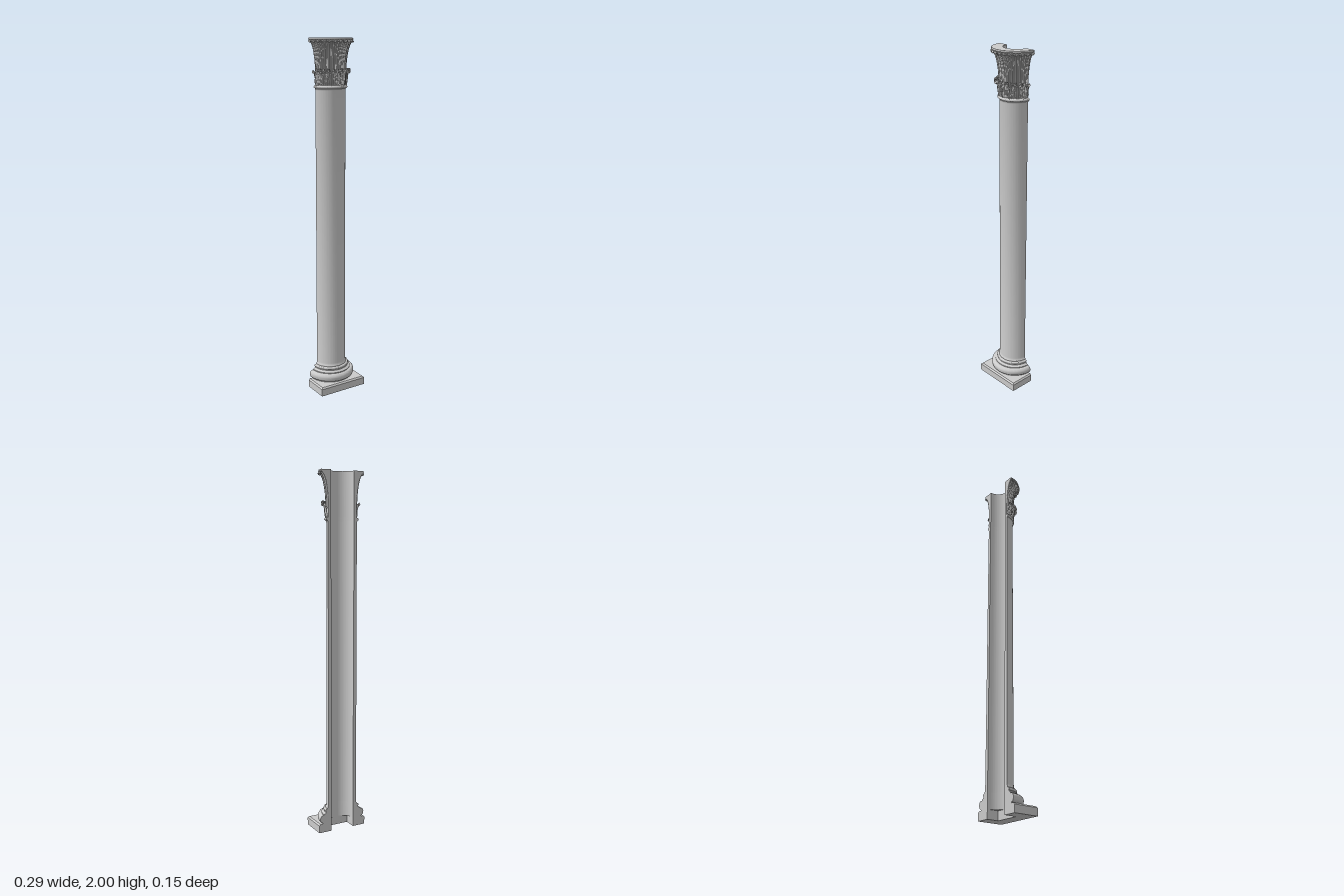
import * as THREE from 'three';
import { mergeGeometries, toCreasedNormals } from 'three/addons/utils/BufferGeometryUtils.js';

const AXIS_Z = -0.075; // the column is cut in half along its own axis
const INNER = 0.07;    // radius of the hollow core
const solid = new THREE.MeshStandardMaterial({ color: 0xcccccc });
const thin = new THREE.MeshStandardMaterial({ color: 0xcccccc, side: THREE.DoubleSide });

function addMesh(parent, name, geometry, material = solid) {
  const mesh = new THREE.Mesh(geometry, material);
  mesh.name = name;
  parent.add(mesh);
  return mesh;
}

// Half-round hollow drum: outer profile [r, y] from bottom to top, with flat cut faces
function halfDrum(profile) {
  const bottom = profile[0][1];
  const top = profile[profile.length - 1][1];
  const loop = [[INNER, bottom], ...profile, [INNER, top]].map(([r, y]) => new THREE.Vector2(r, y));
  const skin = new THREE.LatheGeometry([...loop, loop[0].clone()], 48, -Math.PI / 2, Math.PI);
  const cuts = [1, -1].map((side) =>
    new THREE.ShapeGeometry(new THREE.Shape(loop.map((p) => new THREE.Vector2(p.x * side, p.y)))).rotateY(Math.PI));
  const parts = [skin, ...cuts].map((g) => g.toNonIndexed());
  return toCreasedNormals(mergeGeometries(parts), 0.6);
}

// Points of a rounded moulding bulging from radius r by depth d between two heights
function torusProfile(r, d, y0, y1, n = 10) {
  return Array.from({ length: n + 1 }, (_, i) => {
    const a = (i / n) * Math.PI;
    return [r + d * Math.sin(a), (y0 + y1) / 2 - ((y1 - y0) / 2) * Math.cos(a)];
  });
}

// Leaf wrapped round the axis: spine [r, y], half width in radians, relief across u
function leafGeometry(spine, phi, width, relief, nu, nv) {
  const curve = new THREE.CatmullRomCurve3(spine.map(([r, y]) => new THREE.Vector3(r, y, 0)));
  const positions = [];
  const index = [];
  for (let j = 0; j <= nv; j++) {
    const v = j / nv;
    const p = curve.getPoint(v);
    const t = curve.getTangent(v);
    for (let i = 0; i <= nu; i++) {
      const u = (i / nu) * 2 - 1;
      const d = relief(u, v);
      const r = p.x + t.y * d;
      const a = phi + u * width(v);
      positions.push(r * Math.sin(a), p.y - t.x * d, r * Math.cos(a));
      if (i < nu && j < nv) {
        const k = j * (nu + 1) + i;
        index.push(k, k + 1, k + nu + 2, k, k + nu + 2, k + nu + 1);
      }
    }
  }
  const g = new THREE.BufferGeometry();
  g.setAttribute('position', new THREE.Float32BufferAttribute(positions, 3));
  g.setIndex(index);
  g.computeVertexNormals();
  return g;
}

// Row of equal leaves spread over the half circle
function leafRow(parent, name, count, make, skip = 0) {
  for (let i = skip; i < count; i++) {
    const offset = skip ? i : i + 0.5;
    addMesh(parent, name, make((offset / count) * Math.PI - Math.PI / 2), thin);
  }
}

// Plinth: slab with a square notch at the back and chamfered outer top edges
function plinthGeometry() {
  const w = 0.147, front = 0.074, notch = -0.005, edge = 0.008;
  const shape = new THREE.Shape([
    [-w, -front], [w, -front], [w, -AXIS_Z], [INNER, -AXIS_Z],
    [INNER, -notch], [-INNER, -notch], [-INNER, -AXIS_Z], [-w, -AXIS_Z],
  ].map(([x, y]) => new THREE.Vector2(x, y)));
  const g = new THREE.ExtrudeGeometry(shape, { depth: 0.05, steps: 6, bevelEnabled: false });
  g.rotateX(-Math.PI / 2);
  const pos = g.attributes.position;
  for (let i = 0; i < pos.count; i++) {
    if (pos.getY(i) < 0.049) continue;
    const x = pos.getX(i);
    if (Math.abs(x) > w - 0.001) pos.setX(i, x - Math.sign(x) * edge);
    if (pos.getZ(i) > front - 0.001) pos.setZ(i, front - edge);
  }
  return toCreasedNormals(g, 0.4);
}

export function createModel() {
  const model = new THREE.Group();
  model.name = 'halfColumn';
  addMesh(model, 'plinth', plinthGeometry());

  const column = new THREE.Group();
  column.name = 'column';
  column.position.z = AXIS_Z;
  model.add(column);

  // Base: large torus, hollow, small torus
  addMesh(column, 'base', halfDrum([
    [0.124, 0.05], ...torusProfile(0.124, 0.016, 0.055, 0.1),
    [0.118, 0.1], [0.118, 0.105], [0.109, 0.108], [0.104, 0.114], [0.104, 0.117],
    ...torusProfile(0.099, 0.008, 0.117, 0.133), [0.095, 0.133], [0.095, 0.138],
  ]));

  addMesh(column, 'shaft', halfDrum([
    [0.095, 0.138], [0.0915, 0.143], [0.09, 0.152], [0.088, 1.725], [0.09, 1.733], [0.092, 1.735],
  ]));

  addMesh(column, 'neckRing', halfDrum([
    [0.092, 1.735], ...torusProfile(0.091, 0.008, 1.737, 1.752), [0.088, 1.754],
  ]));

  // Capital: flaring bell with a thin top rim
  const capital = new THREE.Group();
  capital.name = 'capital';
  column.add(capital);
  addMesh(capital, 'bell', halfDrum([
    [0.086, 1.754], [0.086, 1.82], [0.088, 1.86], [0.092, 1.9], [0.099, 1.94],
    [0.109, 1.968], [0.121, 1.984], [0.127, 1.988], [0.13, 1.993], [0.128, 2],
  ]));

  // Tall tongue leaves with raised edges and midrib, tips curling under the rim
  const tongueSpine = [[0.088, 1.8], [0.09, 1.86], [0.095, 1.905], [0.103, 1.945], [0.114, 1.973], [0.126, 1.987], [0.132, 1.983], [0.13, 1.975]];
  leafRow(capital, 'tongueLeaf', 14, (phi) => leafGeometry(
    tongueSpine, phi,
    (v) => 0.108 * (v > 0.8 ? Math.sqrt(Math.max(0.05, 1 - ((v - 0.8) / 0.2) ** 2)) : 1),
    (u) => 0.005 * Math.pow(Math.abs(Math.cos(u * Math.PI)), 1.5) * (1 - 0.95 * Math.pow(Math.abs(u), 6)) - 0.001,
    14, 22));

  // Acanthus leaves: lobed outline, ribbed face and a curled tip
  const acanthus = (spine, half) => (phi) => leafGeometry(
    spine, phi,
    (v) => half * (1 - 0.6 * v ** 3) * (0.72 + 0.28 * Math.abs(Math.sin(v * Math.PI * 4))),
    (u, v) => 0.006 * (1 - u * u) + 0.003 * Math.cos(u * Math.PI * 4 + v * 2 * Math.abs(u)) - 0.001,
    16, 28);
  leafRow(capital, 'rearAcanthusLeaf', 7, acanthus(
    [[0.087, 1.755], [0.089, 1.79], [0.092, 1.82], [0.1, 1.838], [0.109, 1.84], [0.114, 1.832], [0.11, 1.824]], 0.2), 1);
  leafRow(capital, 'frontAcanthusLeaf', 7, acanthus(
    [[0.088, 1.754], [0.092, 1.775], [0.095, 1.805], [0.1, 1.825], [0.108, 1.831], [0.114, 1.824], [0.111, 1.815]], 0.22));

  return model;
}
